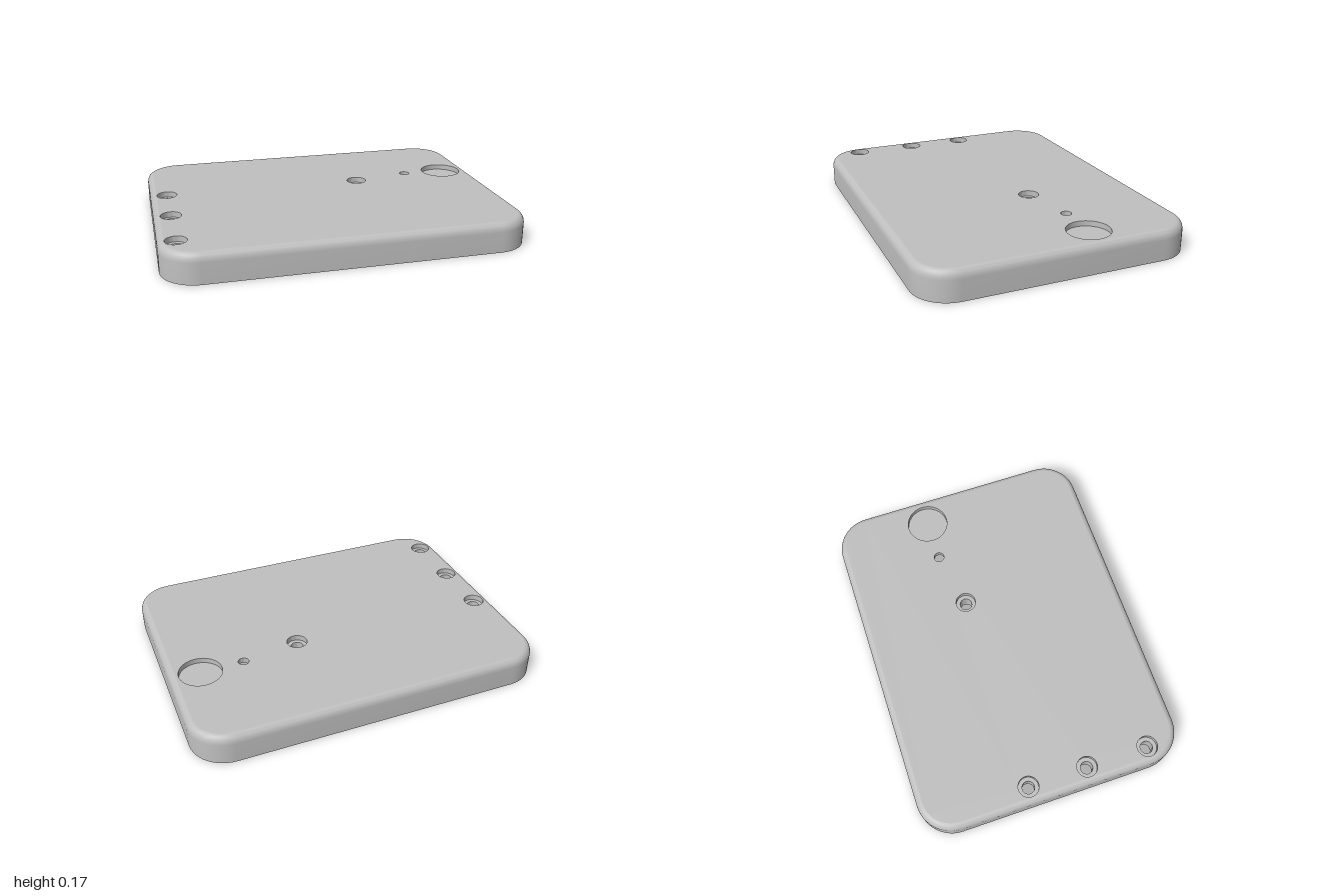
import * as THREE from 'three';
import { toCreasedNormals } from 'three/addons/utils/BufferGeometryUtils.js';

const HX = 1, HZ = 0.76, R = 0.2;      // half width, half depth, corner radius
const TOP = 0.167, UNDER = 0.12;       // plate top and underside
const FILLET = 0.036, WALL = 0.055;    // edge rounding and wall thickness

// Rounded rectangle, inset from the outline, as [x, z] points
function outline(inset) {
  const pts = [], n = 12, r = R - inset;
  for (let k = 0; k < 4; k++) {
    const cx = (k < 2 ? 1 : -1) * (HX - R);
    const cz = (k === 0 || k === 3 ? 1 : -1) * (HZ - R);
    for (let i = 0; i <= n; i++) {
      const a = (k + i / n) * Math.PI / 2;
      pts.push([cx + r * Math.sin(a), cz + r * Math.cos(a)]);
    }
  }
  return pts;
}

// Sweep an [inset, y] profile around the outline
function sweep(profile) {
  const pos = [], index = [];
  const loops = profile.map(([inset]) => outline(inset));
  const n = loops[0].length;
  loops.forEach((loop, j) => loop.forEach(([x, z]) => pos.push(x, profile[j][1], z)));
  for (let j = 0; j < loops.length - 1; j++) {
    for (let i = 0; i < n; i++) {
      const a = j * n + i, b = j * n + (i + 1) % n;
      index.push(a, b, a + n, b, b + n, a + n);
    }
  }
  const g = new THREE.BufferGeometry();
  g.setAttribute('position', new THREE.Float32BufferAttribute(pos, 3));
  g.setIndex(index);
  return toCreasedNormals(g, 0.6);
}

// Flat rounded panel with round holes [x, z, radius], facing up or down
function panel(inset, y, holes, up) {
  const s = up ? -1 : 1;
  const shape = new THREE.Shape(outline(inset).map(([x, z]) => new THREE.Vector2(x, s * z)));
  for (const [x, z, r] of holes) {
    shape.holes.push(new THREE.Path().absarc(x, s * z, r, 0, Math.PI * 2));
  }
  return new THREE.ShapeGeometry(shape, 24).rotateX(s * Math.PI / 2).translate(0, y, 0);
}

export function createModel() {
  const model = new THREE.Group();
  model.name = 'enclosureLid';
  const plastic = new THREE.MeshStandardMaterial({ color: 0xbfbfbf });
  plastic.name = 'greyPlastic';

  const add = (name, geometry, x = 0, z = 0) => {
    const mesh = new THREE.Mesh(geometry, plastic);
    mesh.name = name;
    mesh.position.set(x, 0, z);
    model.add(mesh);
  };
  const turned = (name, x, z, profile) => {
    const g = new THREE.LatheGeometry(profile.map(p => new THREE.Vector2(...p)), 48);
    add(name, toCreasedNormals(g, 0.6), x, z);
  };

  const screws = [[-0.905, -0.145], [-0.905, 0.2], [-0.905, 0.56], [0.25, -0.137]];
  const light = [0.587, -0.2], button = [0.83, -0.2];

  // Side wall: inner face, stepped lip, outer face and rounded top edge
  const wall = [[WALL, UNDER], [WALL, 0.045], [0.025, 0.045], [0.025, 0], [0, 0]];
  for (let i = 0; i <= 8; i++) {
    const a = i / 8 * Math.PI / 2;
    wall.push([FILLET * (1 - Math.cos(a)), TOP - 0.05 + 0.05 * Math.sin(a)]);
  }
  add('sideWall', sweep(wall));

  // Top plate, outside and inside faces
  add('topFace', panel(FILLET, TOP, [
    ...screws.map(([x, z]) => [x, z, 0.058]), [...light, 0.03], [...button, 0.12],
  ], true));
  add('innerFace', panel(WALL, UNDER, [
    ...screws.map(([x, z]) => [x, z, 0.035]), [...light, 0.097],
  ], false));

  // Counterbored screw bosses
  for (const [x, z] of screws) {
    turned('screwBoss', x, z, [[0.058, TOP], [0.058, 0.135], [0.035, 0.135],
      [0.035, 0.05], [0.057, 0.05], [0.057, UNDER]]);
  }

  // Indicator hole with a shallow seat underneath
  turned('indicatorHole', ...light, [[0.03, TOP], [0.03, 0.135], [0.097, 0.135], [0.097, UNDER]]);

  // Button recess
  turned('buttonRecess', ...button, [[0.12, TOP], [0.12, 0.137], [0, 0.137]]);

  // Solid posts and locating pegs under the plate: x, z, radius, tip height
  const posts = [
    ['buttonPost', ...button, 0.038, 0.05],
    ['supportPost', 0.395, -0.47, 0.027, 0.025],
    ['supportPost', 0.39, -0.29, 0.027, 0.025],
    ['locatingPeg', 0.83, -0.01, 0.025, 0.09],
    ['locatingPeg', 0.22, 0.6, 0.025, 0.09],
    ['locatingPeg', 0.84, 0.6, 0.025, 0.09],
  ];
  for (const [name, x, z, r, tip] of posts) {
    turned(name, x, z, [[0, tip], [r, tip], [r, UNDER]]);
  }

  return model;
}
